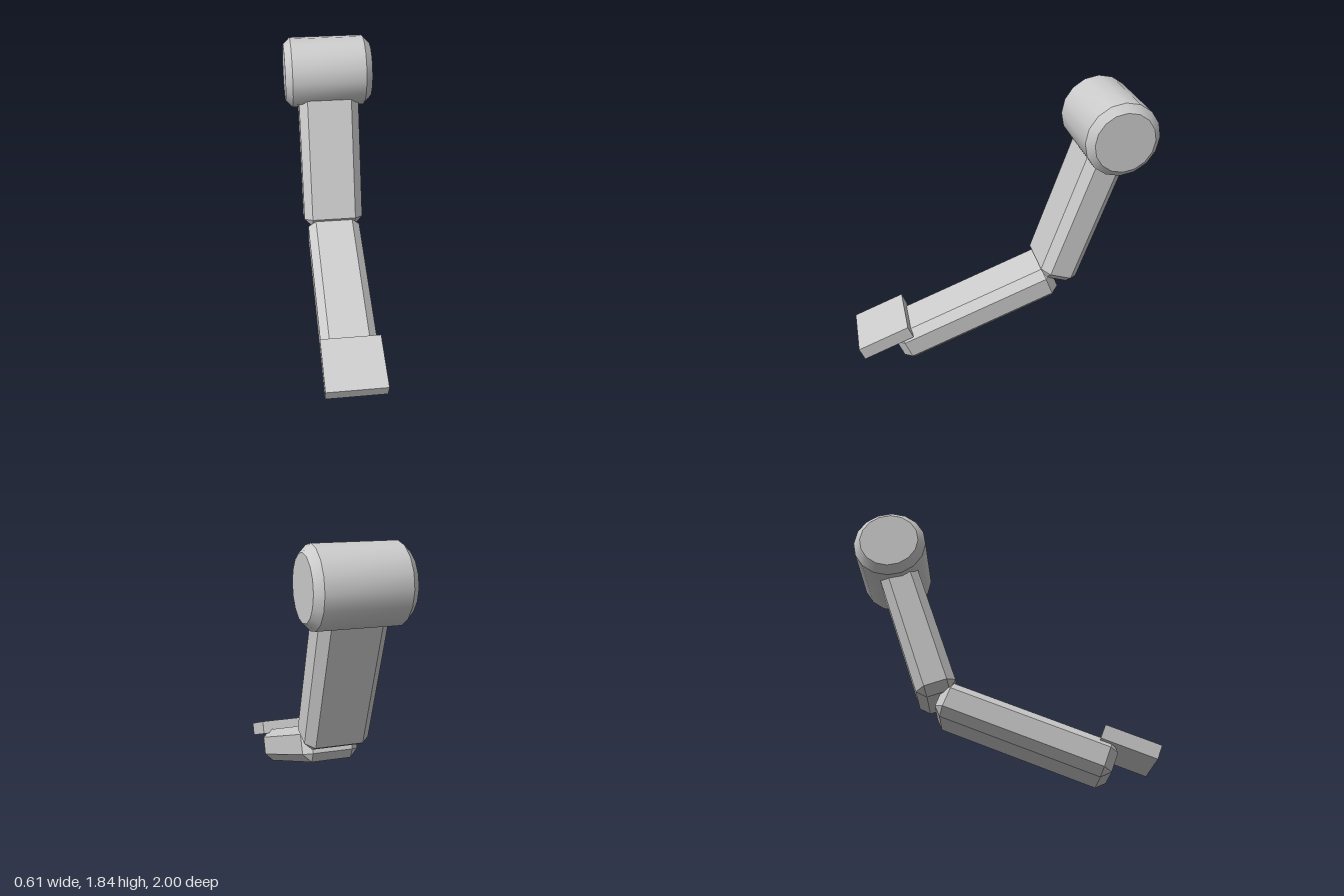
import * as THREE from 'three';
import { toCreasedNormals } from 'three/addons/utils/BufferGeometryUtils.js';
import { ConvexGeometry } from 'three/addons/geometries/ConvexGeometry.js';

// Box with every edge cut by a flat chamfer of width b
function chamferedBox(w, h, d, b) {
  const half = [w / 2, h / 2, d / 2];
  const points = [];
  for (const sx of [-1, 1]) for (const sy of [-1, 1]) for (const sz of [-1, 1]) {
    for (let outer = 0; outer < 3; outer++) {
      const [x, y, z] = half.map((v, i) => (i === outer ? v : v - b));
      points.push(new THREE.Vector3(sx * x, sy * y, sz * z));
    }
  }
  return new ConvexGeometry(points);
}

export function createModel() {
  const model = new THREE.Group();
  model.name = 'jointedArm';
  const lightGrey = new THREE.MeshStandardMaterial({ color: 0xcccccc });
  lightGrey.name = 'lightGrey';

  const add = (name, geometry, y, z, tilt) => {
    const mesh = new THREE.Mesh(geometry, lightGrey);
    mesh.name = name;
    mesh.position.set(0, y, z);
    mesh.rotation.x = tilt;
    model.add(mesh);
  };

  // Shoulder: 16-sided drum across x with chamfered rims
  const profile = [[0, -0.305], [0.198, -0.305], [0.246, -0.257], [0.246, 0.257], [0.198, 0.305], [0, 0.305]]
    .map(([r, y]) => new THREE.Vector2(r, y));
  const drum = new THREE.LatheGeometry(profile, 16).rotateZ(Math.PI / 2);
  add('shoulder', toCreasedNormals(drum, Math.PI / 6), 1.6, -0.753, 0);

  // Upper arm: hangs from inside the shoulder, leaning forward
  const lean = 0.33, reach = 0.54;
  add('upperArm', chamferedBox(0.426, 1.16, 0.266, 0.057),
    1.6 - reach * Math.cos(lean), -0.753 + reach * Math.sin(lean), -lean);

  // Forearm: slopes down towards the front
  add('forearm', chamferedBox(0.376, 0.241, 1.18, 0.055), 0.312, 0.162, 0.373);

  // Hand: plain slab on top of the forearm's front end
  add('hand', new THREE.BoxGeometry(0.398, 0.094, 0.366), 0.209, 0.811, 0.375);

  return model;
}
